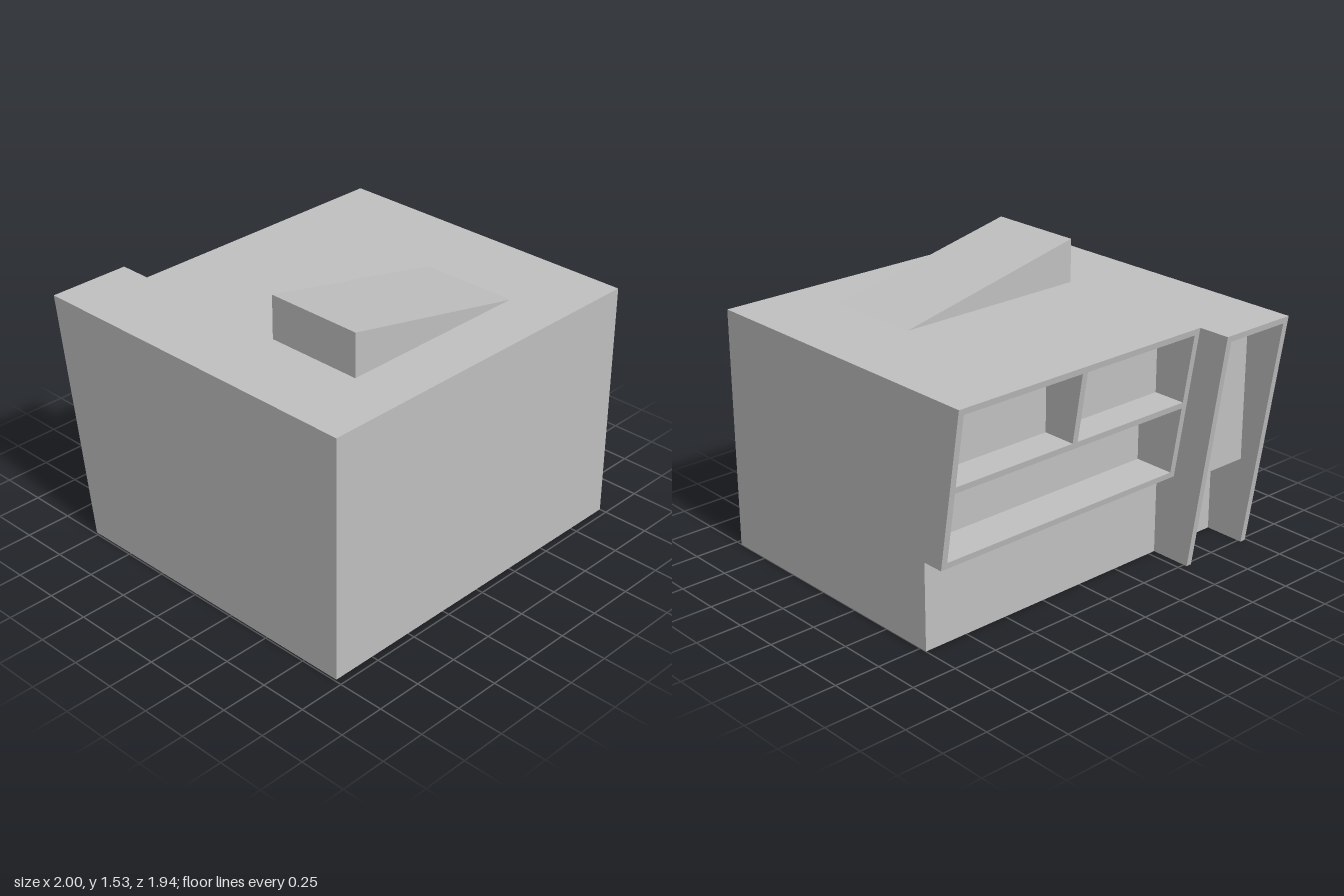
import * as THREE from 'three';

export function createModel() {
  const model = new THREE.Group();
  // One colour; the building is a hollow shell of sheets, open underneath
  const gray = new THREE.MeshStandardMaterial({ color: 0xc0c0c0, side: THREE.DoubleSide });
  gray.name = 'light gray';

  const LEFT = 1, RIGHT = -0.99, FRONT = 0.961, WALL = -0.541;
  const ROOF = 1.302, SILL = 0.467, T = 0.033; // T: thickness of the frames
  const SPLIT = -0.542; // where the tall bay meets the shelf bay

  // Leaning planes of the back, z as a function of height
  const shelfBack = y => -0.659 - 0.1635 * (y - SILL);
  const bayBack = y => -0.77 - 0.155 * y;

  function add(name, geometry) {
    const mesh = new THREE.Mesh(geometry, gray);
    mesh.name = name;
    model.add(mesh);
  }

  const shapeOf = points => new THREE.Shape(points.map(p => new THREE.Vector2(...p)));
  const rect = (a0, a1, b0, b1) => [[a0, b0], [a1, b0], [a1, b1], [a0, b1]];

  // Flat outline, each vertex placed in space by a rule
  function sheet(name, points, place, holes = []) {
    const shape = shapeOf(points);
    shape.holes = holes.map(shapeOf);
    const g = new THREE.ShapeGeometry(shape);
    const pos = g.attributes.position;
    for (let i = 0; i < pos.count; i++) pos.setXYZ(i, ...place(pos.getX(i), pos.getY(i)));
    g.computeVertexNormals();
    add(name, g);
  }
  const side = (name, x, points) => sheet(name, points, (z, y) => [x, y, z]);
  const level = (name, y, points) => sheet(name, points, (x, z) => [x, y, z]);
  const upright = (name, z, points) => sheet(name, points, (x, y) => [x, y, z]);

  // Outer shell
  const shelfProfile = [[shelfBack(ROOF), ROOF], [shelfBack(SILL), SILL], [WALL, SILL], [WALL, 0]];
  level('roof', ROOF, [[RIGHT, FRONT], [LEFT, FRONT], [LEFT, shelfBack(ROOF)],
    [SPLIT, shelfBack(ROOF)], [SPLIT, bayBack(ROOF)], [RIGHT, bayBack(ROOF)]]);
  upright('frontWall', FRONT, rect(RIGHT, LEFT, 0, ROOF));
  side('leftWall', LEFT, [[FRONT, 0], [FRONT, ROOF], ...shelfProfile]);
  side('rightWall', RIGHT, [[FRONT, 0], [FRONT, ROOF], [bayBack(ROOF), ROOF], [bayBack(0), 0]]);
  side('baySide', SPLIT, [[bayBack(0), 0], [bayBack(ROOF), ROOF], ...shelfProfile]);
  upright('groundWall', WALL, rect(SPLIT, LEFT, 0, SILL));
  level('overhang', SILL, rect(SPLIT, LEFT, shelfBack(SILL), WALL));

  // Shelf bay: leaning frame with three openings, each a box-like recess
  const top = ROOF - T, mid = (SILL + ROOF) / 2;
  const s0 = SPLIT + T, s1 = LEFT - T, centre = (s0 + s1) / 2;
  const recesses = [
    [s0, s1, SILL + T, mid - T / 2, -0.436],
    [s0, centre - T / 2, mid + T / 2, top, -0.546],
    [centre + T / 2, s1, mid + T / 2, top, -0.546],
  ];
  sheet('shelfFrame', rect(SPLIT, LEFT, SILL, ROOF), (x, y) => [x, y, shelfBack(y)],
    recesses.map(([x0, x1, y0, y1]) => rect(x0, x1, y0, y1)));
  for (const [x0, x1, y0, y1, z] of recesses) {
    upright('recessBack', z, rect(x0, x1, y0, y1));
    for (const y of [y0, y1]) level('recessShelf', y, rect(x0, x1, shelfBack(y), z));
    for (const x of [x0, x1])
      side('recessSide', x, [[shelfBack(y0), y0], [shelfBack(y1), y1], [z, y1], [z, y0]]);
  }

  // Tall bay: frame on two legs, projecting upper panel, deep lower wall
  const b0 = RIGHT + T, b1 = SPLIT - T, PANEL = -0.742;
  sheet('bayFrame', [[RIGHT, 0], [b0, 0], [b0, top], [b1, top], [b1, 0], [SPLIT, 0],
    [SPLIT, ROOF], [RIGHT, ROOF]], (x, y) => [x, y, bayBack(y)]);
  for (const x of [b0, b1])
    side('bayReveal', x, [[bayBack(0), 0], [bayBack(top), top], [PANEL, top],
      [PANEL, SILL], [WALL, SILL], [WALL, 0]]);
  level('bayCeiling', top, rect(b0, b1, bayBack(top), PANEL));
  upright('bayPanel', PANEL, rect(b0, b1, SILL, top));
  level('bayPanelUnderside', SILL, rect(b0, b1, PANEL, WALL));
  upright('bayLowerWall', WALL, rect(b0, b1, 0, SILL));

  // Thin corner panel, wrapping slightly round the side
  upright('cornerPanelFront', 0.971, rect(-1, -0.5, 0.38, 1.277));
  side('cornerPanelSide', -1, rect(0.872, 0.971, 0.38, 1.277));

  // Wedge on the roof
  const wedge = shapeOf([[-0.556, ROOF], [0.532, ROOF], [-0.556, 1.535]]);
  add('roofWedge', new THREE.ExtrudeGeometry(wedge, { depth: 0.535, bevelEnabled: false })
    .translate(0, 0, 0.122));

  return model;
}
